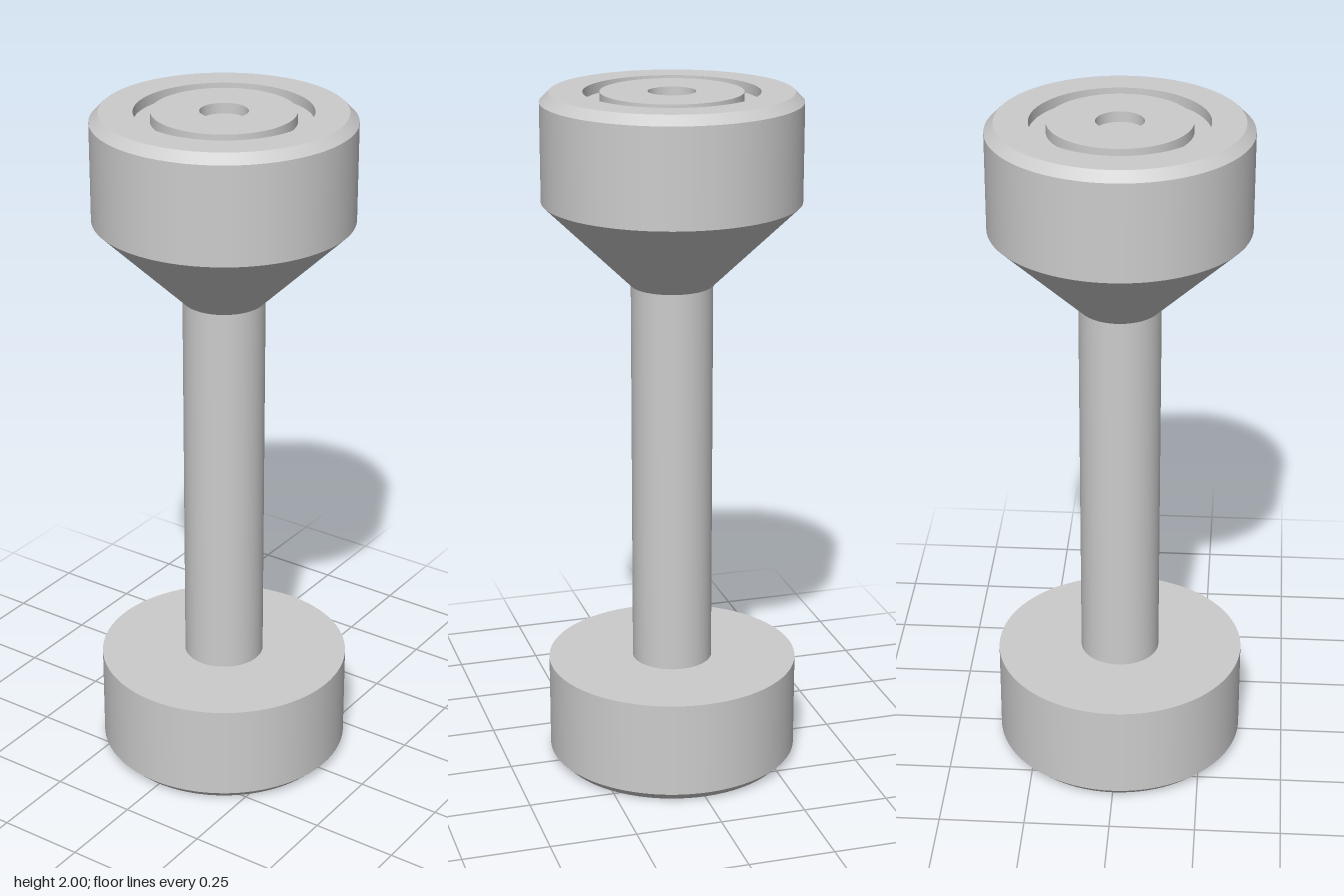
import * as THREE from 'three';
import { mergeGeometries } from 'three/addons/utils/BufferGeometryUtils.js';

const SIDES = 96;

// Revolve a profile segment by segment, so every edge between segments stays sharp
function turned(name, profile, material) {
  const bands = [];
  for (let i = 0; i < profile.length - 1; i++) {
    const pair = [profile[i], profile[i + 1]].map(([r, y]) => new THREE.Vector2(r, y));
    bands.push(new THREE.LatheGeometry(pair, SIDES));
  }
  const mesh = new THREE.Mesh(mergeGeometries(bands), material);
  mesh.name = name;
  return mesh;
}

export function createModel() {
  const model = new THREE.Group();
  model.name = 'dumbbell';
  const steel = new THREE.MeshStandardMaterial({ color: 0xcccccc });
  steel.name = 'light grey steel';

  const height = 2, headRadius = 0.367, shaftRadius = 0.117;
  const chamfer = 0.026, recess = 0.03;
  const lowerHeadTop = 0.307, coneBottom = 1.45, coneTop = 1.693;

  // End face from the axis outwards: centre hole, ring groove, chamfered rim
  const endFace = [
    [0, recess], [0.067, recess], [0.067, 0],
    [0.2, 0], [0.2, recess], [0.247, recess], [0.247, 0],
    [headRadius - chamfer, 0], [headRadius, chamfer],
  ];
  const topFace = endFace.map(([r, y]) => [r, height - y]).reverse();

  // Lower head with a flat shoulder
  model.add(turned('lowerHead',
    [...endFace, [headRadius, lowerHeadTop], [shaftRadius, lowerHeadTop]], steel));

  // Straight handle
  model.add(turned('handle',
    [[shaftRadius, lowerHeadTop], [shaftRadius, coneBottom]], steel));

  // Upper head with a conical neck
  model.add(turned('upperHead',
    [[shaftRadius, coneBottom], [headRadius, coneTop], ...topFace], steel));

  return model;
}
